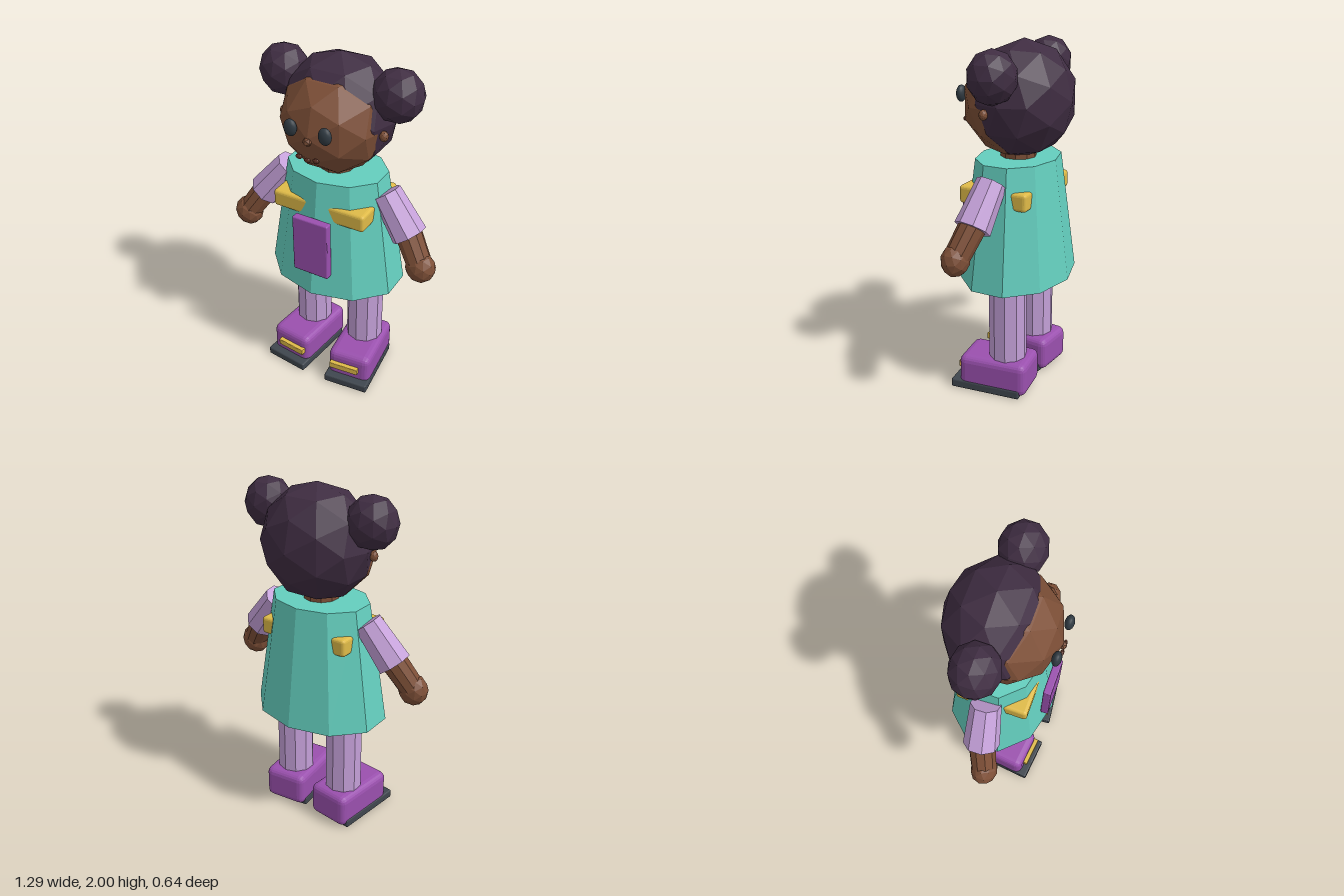
import * as THREE from 'three';
import { RoundedBoxGeometry } from 'three/addons/geometries/RoundedBoxGeometry.js';

const mat = (color, flatShading = true) => new THREE.MeshStandardMaterial({ color, flatShading });
const skin = mat(0x7d4f37);
const hair = mat(0x3f2d42);
const teal = mat(0x64cebe);
const lavender = mat(0xc4a0d8);
const purple = mat(0x9a50ae);
const yellow = mat(0xdfba48);
const dark = mat(0x3f464e);
const eyeDark = mat(0x303a42, false);
const lip = mat(0x5c3124);

function add(parent, name, geometry, material, x, y, z) {
  const mesh = new THREE.Mesh(geometry, material);
  mesh.name = name;
  mesh.position.set(x, y, z);
  parent.add(mesh);
  return mesh;
}

// Faceted ball stretched to three radii
function ball(parent, name, material, [x, y, z], [rx, ry, rz], detail = 1) {
  const geometry = new THREE.IcosahedronGeometry(1, detail).scale(rx, ry, rz);
  return add(parent, name, geometry, material, x, y, z);
}

function roundedBox(parent, name, material, [x, y, z], [w, h, d], radius) {
  return add(parent, name, new RoundedBoxGeometry(w, h, d, 2, radius), material, x, y, z);
}

// Tapered limb running from one point to another
function limb(parent, name, material, from, to, rFrom, rTo, sides) {
  const a = new THREE.Vector3(...from), b = new THREE.Vector3(...to);
  const dir = b.clone().sub(a);
  const mid = a.clone().add(b).multiplyScalar(0.5);
  const geometry = new THREE.CylinderGeometry(rTo, rFrom, dir.length(), sides);
  const mesh = add(parent, name, geometry, material, mid.x, mid.y, mid.z);
  mesh.quaternion.setFromUnitVectors(new THREE.Vector3(0, 1, 0), dir.normalize());
  return mesh;
}

function createHead() {
  const head = new THREE.Group();
  head.name = 'head';
  ball(head, 'face', skin, [0, 1.655, 0.008], [0.298, 0.298, 0.298]);
  ball(head, 'hair', hair, [0, 1.68, -0.035], [0.32, 0.32, 0.28]);
  ball(head, 'nose', skin, [0, 1.64, 0.305], [0.026, 0.024, 0.02], 0);
  for (const s of [-1, 1]) {
    ball(head, 'hairBun', hair, [s * 0.333, 1.837, -0.022], [0.14, 0.144, 0.13]);
    ball(head, 'ear', skin, [s * 0.298, 1.635, 0.052], [0.025, 0.03, 0.024]);
    ball(head, 'eye', eyeDark, [s * 0.1, 1.695, 0.3], [0.037, 0.047, 0.025], 3);
  }
  // Smile made of three beads
  for (const i of [-1, 0, 1]) {
    ball(head, 'mouthBead', lip, [i * 0.05, i ? 1.547 : 1.537, 0.305], [0.02, 0.014, 0.011]);
  }
  return head;
}

function createArm(s) {
  const arm = new THREE.Group();
  arm.name = s > 0 ? 'leftArm' : 'rightArm';
  limb(arm, 'sleeve', lavender, [s * 0.303, 1.278, 0.005], [s * 0.463, 1.07, 0.032], 0.083, 0.1, 8);
  limb(arm, 'forearm', skin, [s * 0.44, 1.11, 0.025], [s * 0.557, 0.93, 0.078], 0.076, 0.07, 10);
  ball(arm, 'hand', skin, [s * 0.56, 0.922, 0.08], [0.086, 0.09, 0.076]);
  return arm;
}

function createLeg(s) {
  const leg = new THREE.Group();
  leg.name = s > 0 ? 'leftLeg' : 'rightLeg';
  add(leg, 'stocking', new THREE.CylinderGeometry(0.108, 0.108, 0.6, 10), lavender, s * 0.178, 0.45, -0.022);

  // Foot turned slightly outwards
  const foot = new THREE.Group();
  foot.name = 'foot';
  foot.position.set(s * 0.183, 0, 0.033);
  foot.rotation.y = s * 0.11;
  roundedBox(foot, 'shoe', purple, [0, 0.111, 0], [0.262, 0.2, 0.408], 0.04);
  roundedBox(foot, 'sole', dark, [0, 0.026, 0.042], [0.272, 0.052, 0.42], 0.01);
  roundedBox(foot, 'buckle', yellow, [-s * 0.022, 0.122, 0.212], [0.18, 0.04, 0.035], 0.005);
  leg.add(foot);
  return leg;
}

export function createModel() {
  const model = new THREE.Group();
  model.name = 'doll';

  model.add(createHead());
  add(model, 'neck', new THREE.CylinderGeometry(0.1, 0.1, 0.16, 10), skin, 0, 1.36, 0);

  // Flared dress, flattened front to back
  const dress = new THREE.CylinderGeometry(0.292, 0.405, 0.69, 10).scale(1, 1, 0.765);
  add(model, 'dress', dress, teal, 0, 1.015, -0.002);
  // Only the corners of the belt show through the dress
  roundedBox(model, 'belt', yellow, [0, 1.18, 0.02], [0.56, 0.1, 0.405], 0.018);
  roundedBox(model, 'pocket', purple, [0, 0.985, 0.282], [0.218, 0.35, 0.046], 0.008);

  for (const s of [-1, 1]) model.add(createArm(s), createLeg(s));
  return model;
}
